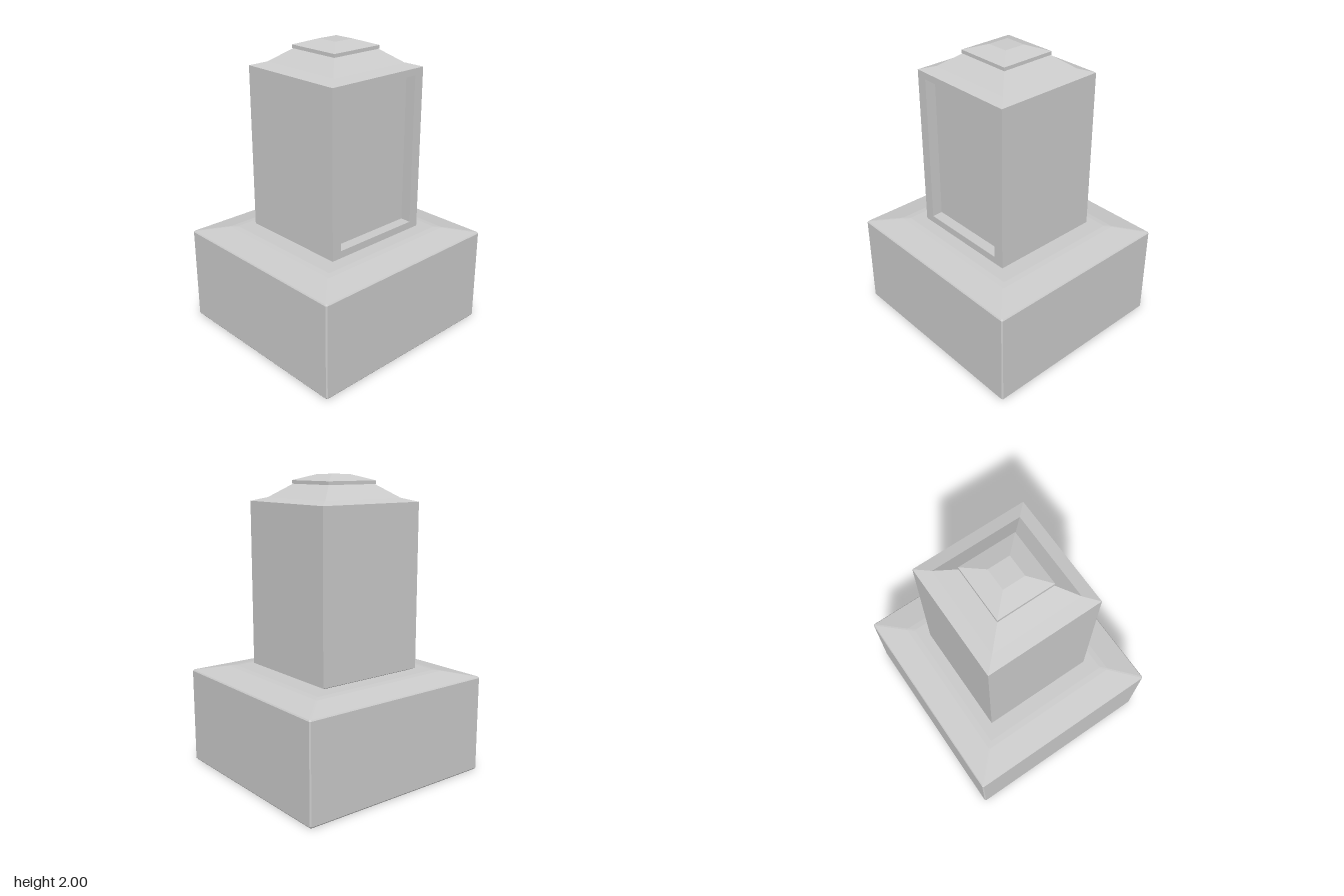
import * as THREE from 'three';

const material = new THREE.MeshStandardMaterial({ color: 0xcccccc, flatShading: true });

// Rectangular outline, counter-clockwise from above, with optional cut corners
function ring([hx, hz, y], cut) {
  const points = [];
  for (const [sx, sz] of [[1, 1], [1, -1], [-1, -1], [-1, 1]]) {
    const alongX = [sx * (hx - cut), y, sz * hz];
    const alongZ = [sx * hx, y, sz * (hz - cut)];
    if (!cut) points.push(alongX);
    else if (sx * sz > 0) points.push(alongX, alongZ);
    else points.push(alongZ, alongX);
  }
  return points;
}

// Stacks rectangular sections [halfWidth, halfDepth, y] into a closed solid
function loft(name, sections, cut = 0) {
  const rings = sections.map((s) => ring(s, cut));
  const n = rings[0].length;
  const top = rings[rings.length - 1];
  const pos = [];
  for (let r = 0; r < rings.length - 1; r++) {
    for (let i = 0; i < n; i++) {
      const j = (i + 1) % n;
      const [a, b, c, d] = [rings[r][i], rings[r][j], rings[r + 1][j], rings[r + 1][i]];
      pos.push(...a, ...b, ...c, ...a, ...c, ...d);
    }
  }
  for (let i = 1; i < n - 1; i++) {
    pos.push(...top[0], ...top[i], ...top[i + 1]);
    pos.push(...rings[0][0], ...rings[0][i + 1], ...rings[0][i]);
  }
  const geometry = new THREE.BufferGeometry();
  geometry.setAttribute('position', new THREE.Float32BufferAttribute(pos, 3));
  geometry.computeVertexNormals();
  const mesh = new THREE.Mesh(geometry, material);
  mesh.name = name;
  return mesh;
}

export function createModel() {
  const model = new THREE.Group();
  model.name = 'pedestalMonument';

  // Broad plinth with softened edges and a shallow sloping top
  model.add(loft('plinth', [
    [0.709, 0.679, 0],
    [0.715, 0.685, 0.008],
    [0.715, 0.685, 0.652],
    [0.709, 0.679, 0.66],
    [0.53, 0.505, 0.696],
    [0.49, 0.465, 0.7],
  ], 0.008));

  // Tapered foot under the shaft
  const half = 0.392, bottom = 0.715, top = 1.825, recess = 0.075;
  model.add(loft('shaftFoot', [[0.355, 0.355, 0.698], [half, half, bottom]]));

  // Shaft: solid core with a picture-frame front around a sunken panel
  const shaft = new THREE.Group();
  shaft.name = 'shaft';
  const core = new THREE.Mesh(
    new THREE.BoxGeometry(half * 2, top - bottom, half * 2 - recess), material);
  core.name = 'shaftCore';
  core.position.set(0, (top + bottom) / 2, -recess / 2);

  const outline = new THREE.Shape();
  outline.moveTo(-half, bottom).lineTo(half, bottom).lineTo(half, top).lineTo(-half, top).closePath();
  const opening = new THREE.Path();
  opening.moveTo(-0.32, 0.765).lineTo(-0.32, 1.78).lineTo(0.32, 1.78).lineTo(0.32, 0.765).closePath();
  outline.holes.push(opening);
  const frame = new THREE.Mesh(
    new THREE.ExtrudeGeometry(outline, { depth: recess, bevelEnabled: false }), material);
  frame.name = 'panelFrame';
  frame.position.z = half - recess;
  shaft.add(core, frame);
  model.add(shaft);

  // Two-pitch roof
  model.add(loft('roof', [
    [half, half, top],
    [0.308, 0.308, 1.85],
    [0.188, 0.188, 1.938],
  ]));

  // Small cap with a truncated pyramid top
  model.add(loft('cap', [
    [0.195, 0.195, 1.937],
    [0.195, 0.195, 1.96],
    [0.075, 0.075, 2],
  ]));

  return model;
}
